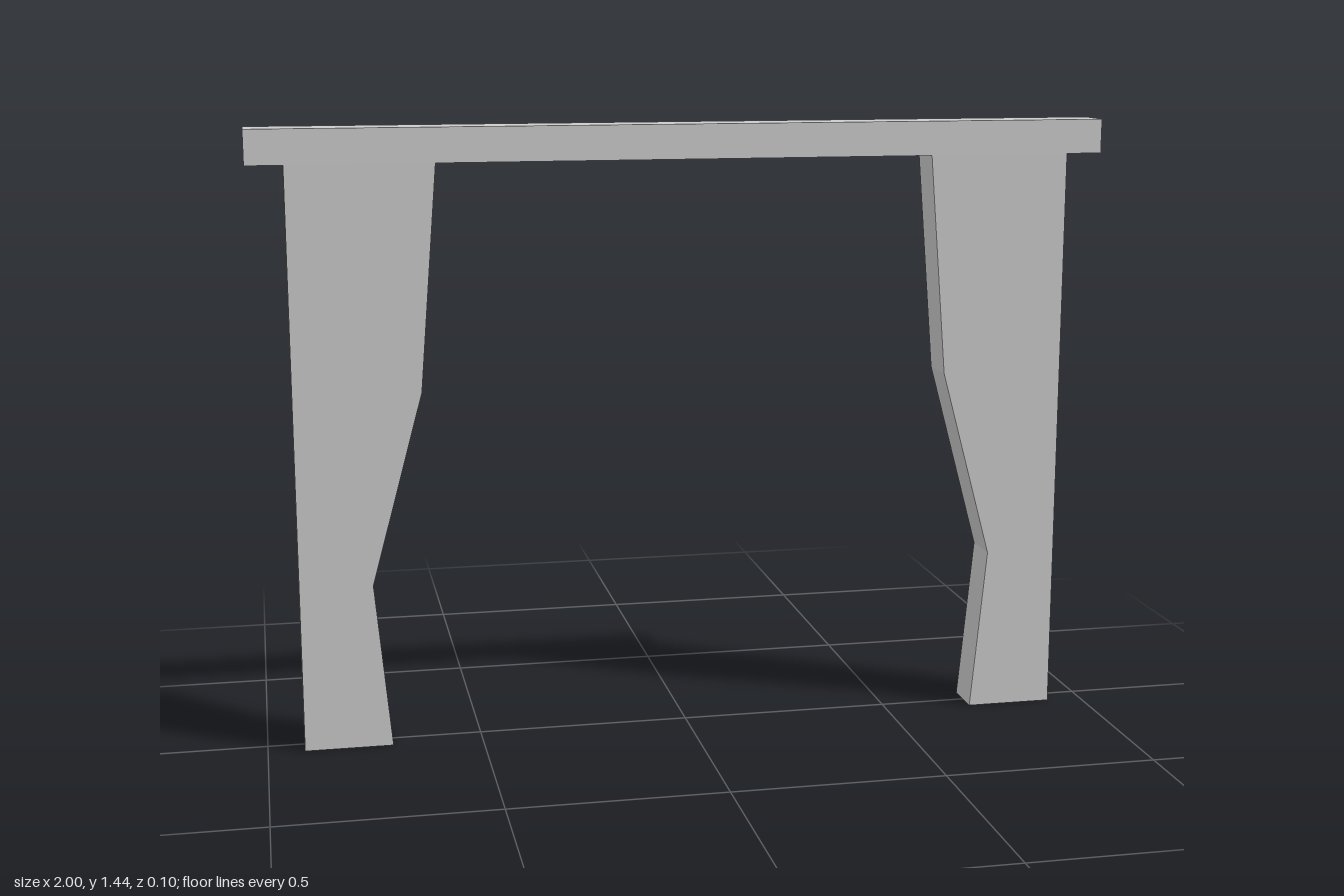
import * as THREE from 'three';

const DEPTH = 0.1;
const LEG_TOP = 1.36;
const BEAM_HEIGHT = 0.08;

// Leg outline on the +x side: straight outer edge, angled inner edge
const LEG_PROFILE = [
  [0.71, 0], [0.915, 0], [0.915, LEG_TOP], [0.58, LEG_TOP], [0.623, 0.84], [0.746, 0.39],
];

export function createModel() {
  const model = new THREE.Group();
  model.name = 'tableFrame';
  const material = new THREE.MeshStandardMaterial({ color: 0xcccccc, flatShading: true });

  // Top beam, overhanging the legs
  const beam = new THREE.Mesh(new THREE.BoxGeometry(2, BEAM_HEIGHT, DEPTH), material);
  beam.name = 'topBeam';
  beam.position.y = LEG_TOP + BEAM_HEIGHT / 2;
  model.add(beam);

  // Mirrored pair of shaped legs
  for (const [name, side] of [['leftLeg', 1], ['rightLeg', -1]]) {
    const shape = new THREE.Shape(LEG_PROFILE.map(([x, y]) => new THREE.Vector2(side * x, y)));
    const geometry = new THREE.ExtrudeGeometry(shape, { depth: DEPTH, bevelEnabled: false });
    geometry.translate(0, 0, -DEPTH / 2);
    const leg = new THREE.Mesh(geometry, material);
    leg.name = name;
    model.add(leg);
  }

  return model;
}
